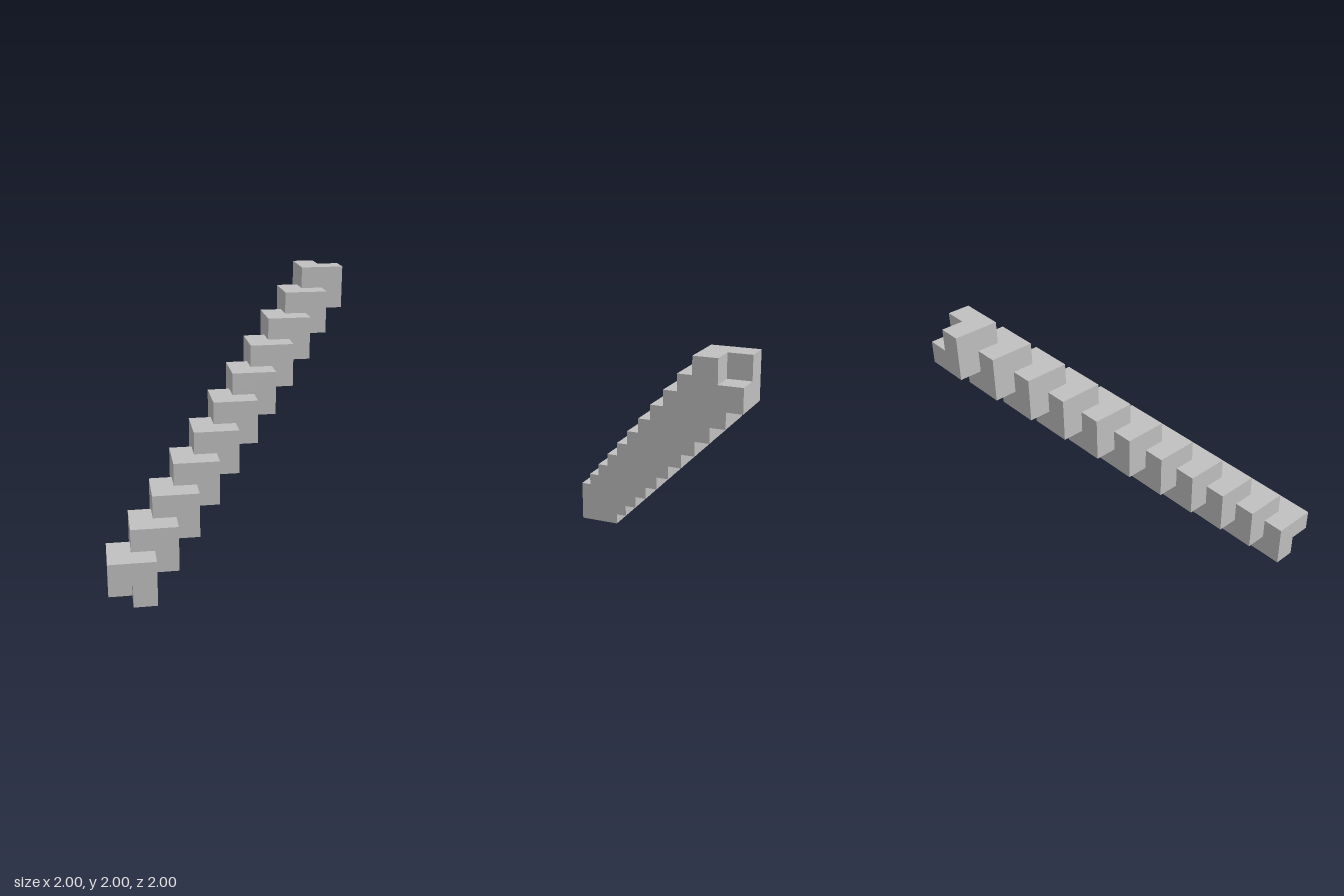
import * as THREE from 'three';
import { mergeGeometries } from 'three/addons/utils/BufferGeometryUtils.js';

const COUNT = 11;
const H = 1 / 6; // half a cube, also the step from cube to cube

// Axis of the chain, and the half turn that swaps its two ends
const AXIS = new THREE.Vector3(1, 1, -1).normalize();
const FLIP = new THREE.Matrix4().makeRotationAxis(new THREE.Vector3(1, -1, 0).normalize(), Math.PI);

// Repeat a face three times around the chain axis
function threefold(face) {
  const copies = [0, 1, 2].map((i) =>
    face.clone().applyMatrix4(new THREE.Matrix4().makeRotationAxis(AXIS, (i * 2 * Math.PI) / 3)));
  return mergeGeometries(copies);
}

export function createModel() {
  const model = new THREE.Group();
  model.name = 'diagonalCubeChain';
  const grey = new THREE.MeshStandardMaterial({ color: 0xc0c0c0 });
  grey.name = 'light grey';

  // Cube with two opposite corners cut away: six L-shaped faces
  const ell = new THREE.Shape([[0, -H], [H, -H], [H, H], [-H, H], [-H, 0], [0, 0]]
    .map(([x, y]) => new THREE.Vector2(x, y)));
  const lowerFaces = threefold(new THREE.ShapeGeometry(ell).translate(0, 0, H));
  const cubeGeometry = mergeGeometries([lowerFaces, lowerFaces.clone().applyMatrix4(FLIP)]);

  // Inner walls of the open corner notch at each end
  const lowerNotch = threefold(new THREE.PlaneGeometry(H, H).translate(-H / 2, -H / 2, 0));
  const upperNotch = lowerNotch.clone().applyMatrix4(FLIP);

  const add = (name, geometry, i) => {
    const mesh = new THREE.Mesh(geometry, grey);
    const t = (i - (COUNT - 1) / 2) * H;
    mesh.position.set(t, 1 + t, -t);
    mesh.name = name;
    model.add(mesh);
  };

  // Cubes climbing to the left and back, each interlocked with the next
  for (let i = 0; i < COUNT; i++) add(`notchedCube${i + 1}`, cubeGeometry, i);
  add('lowerEndNotch', lowerNotch, 0);
  add('upperEndNotch', upperNotch, COUNT - 1);

  return model;
}
